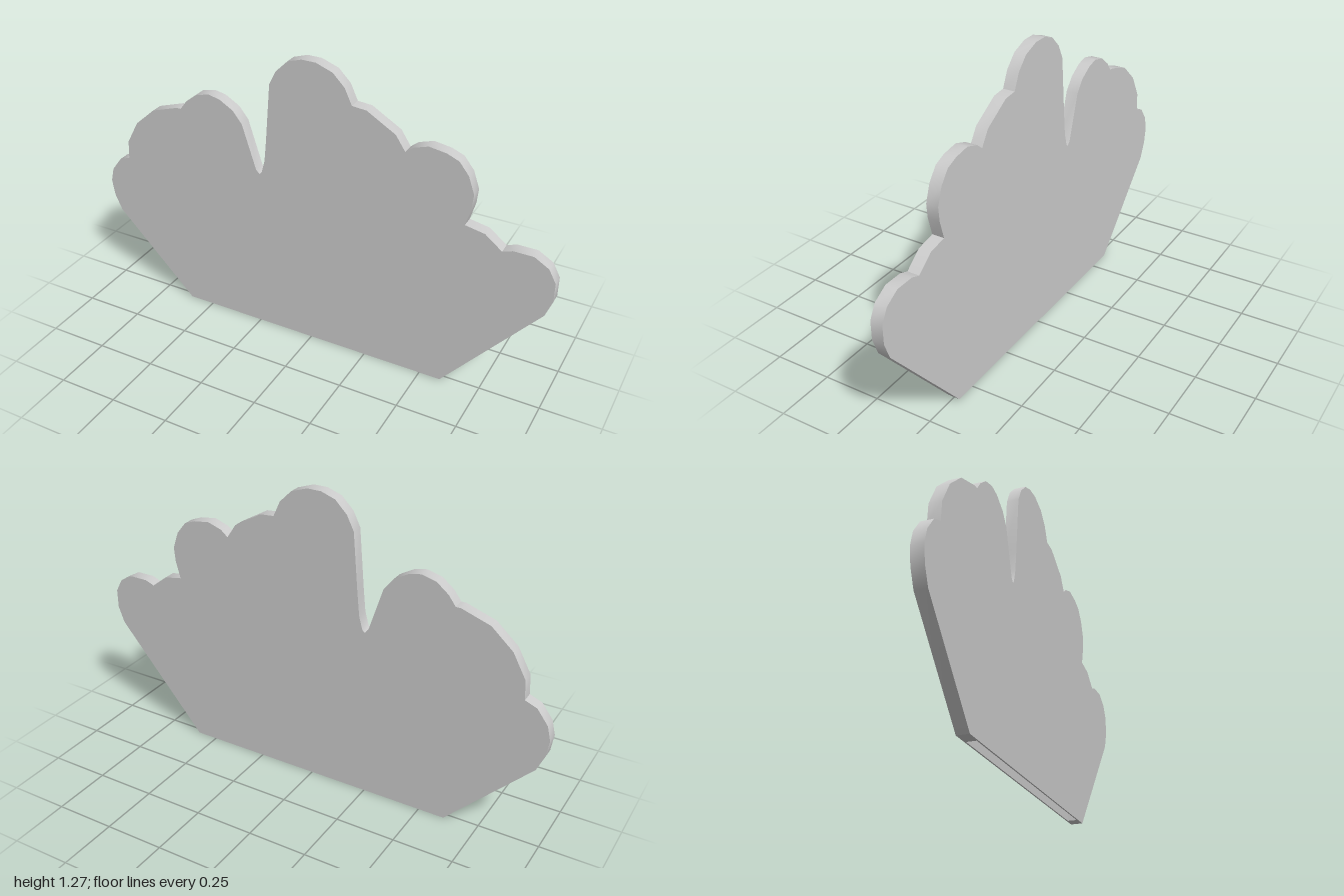
import * as THREE from 'three';
import { toCreasedNormals } from 'three/addons/utils/BufferGeometryUtils.js';

const THICK = 0.05;
const WALL = 0.006;
const SLOT = { left: -0.54, right: 0.53, depth: 0.04 };

// Scalloped top edge, from the lower left corner over to the lower right one
const OUTLINE = [
  [-0.61, 0],
  // outer left lobe
  [-0.96, 0.36], [-0.99, 0.43], [-1, 0.5], [-0.985, 0.56], [-0.94, 0.62], [-0.89, 0.64],
  // left shoulder
  [-0.885, 0.72], [-0.83, 0.82], [-0.74, 0.9], [-0.62, 0.94], [-0.6, 0.94],
  // upper left lobe
  [-0.57, 0.98], [-0.52, 1.02], [-0.46, 1.035], [-0.41, 1.025], [-0.35, 0.99], [-0.31, 0.94],
  // deep cleft
  [-0.25, 0.75], [-0.235, 0.735], [-0.225, 0.745], [-0.21, 0.8], [-0.2, 0.9],
  // centre lobe
  [-0.18, 1.14], [-0.15, 1.2], [-0.1, 1.25], [-0.04, 1.27], [0.02, 1.27], [0.09, 1.245], [0.14, 1.195], [0.17, 1.13],
  // right shoulder
  [0.23, 1.125], [0.35, 1.055], [0.39, 0.995],
  // upper right lobe
  [0.42, 1.02], [0.48, 1.04], [0.55, 1.03], [0.6, 1.01], [0.64, 0.96], [0.665, 0.89], [0.66, 0.83], [0.64, 0.755],
  // outer right lobes
  [0.72, 0.74], [0.79, 0.685], [0.83, 0.7], [0.91, 0.7], [0.97, 0.665], [1, 0.61], [1, 0.53], [0.975, 0.46],
  [0.59, 0],
];

export function createModel() {
  const group = new THREE.Group();
  const material = new THREE.MeshStandardMaterial({ color: 0xcccccc });

  // Flat panel, notched along its base
  const { left, right, depth } = SLOT;
  const notch = [[right, 0], [right, depth], [left, depth], [left, 0]];
  const shape = new THREE.Shape([...OUTLINE, ...notch].map(([x, y]) => new THREE.Vector2(x, y)));
  const geometry = new THREE.ExtrudeGeometry(shape, { depth: THICK, bevelEnabled: false });
  geometry.translate(0, 0, -THICK / 2);
  const panel = new THREE.Mesh(toCreasedNormals(geometry, 0.6), material);
  panel.name = 'scallopedPanel';
  group.add(panel);

  // Thin walls that close the notch front and back, leaving a slot underneath
  for (const [name, side] of [['frontSlotWall', 1], ['backSlotWall', -1]]) {
    const wall = new THREE.Mesh(new THREE.BoxGeometry(right - left, depth, WALL), material);
    wall.position.set((left + right) / 2, depth / 2, side * (THICK - WALL) / 2);
    wall.name = name;
    group.add(wall);
  }
  return group;
}
